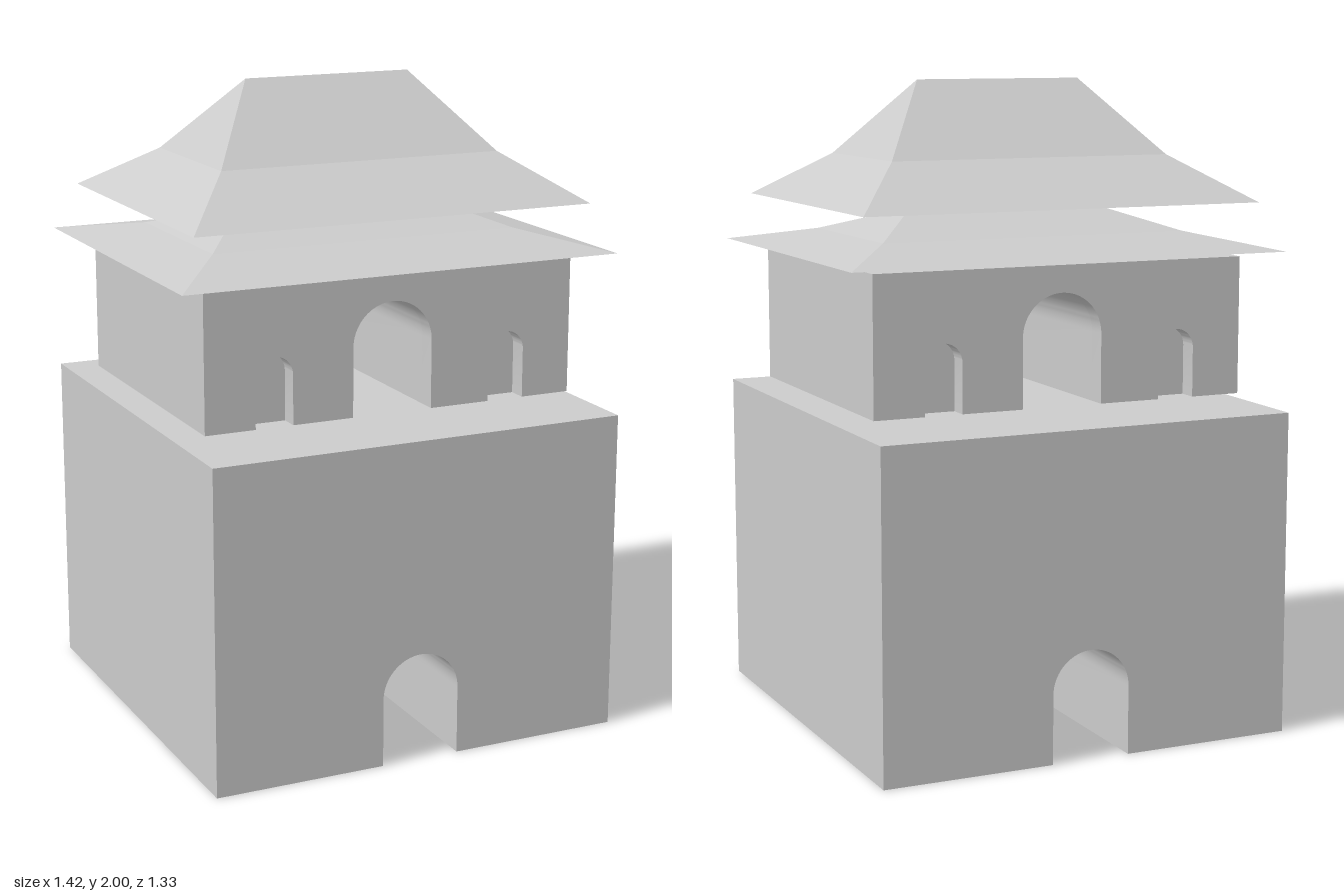
import * as THREE from 'three';
import { toCreasedNormals } from 'three/addons/utils/BufferGeometryUtils.js';

const stone = new THREE.MeshStandardMaterial({ color: 0xcccccc });
const roofing = new THREE.MeshStandardMaterial({ color: 0xcccccc, flatShading: true, side: THREE.DoubleSide });

// Rectangular wall block, cut from below by round-topped openings, extruded from z0 to z1.
// Each opening: { x: centre, r: half width, spring: height where the arch begins }, left to right.
function archedBlock(name, halfWidth, bottom, top, z0, z1, openings) {
  const s = new THREE.Shape();
  s.moveTo(-halfWidth, bottom);
  for (const { x, r, spring } of openings) {
    s.lineTo(x - r, bottom);
    s.lineTo(x - r, spring);
    s.absarc(x, spring, r, Math.PI, 0, true);
    s.lineTo(x + r, bottom);
  }
  s.lineTo(halfWidth, bottom);
  s.lineTo(halfWidth, top);
  s.lineTo(-halfWidth, top);
  s.closePath();
  const geo = new THREE.ExtrudeGeometry(s, { depth: z1 - z0, bevelEnabled: false, curveSegments: 20 });
  geo.translate(0, 0, z0);
  const mesh = new THREE.Mesh(toCreasedNormals(geo, 0.5), stone);
  mesh.name = name;
  return mesh;
}

// Hollow hipped roof: rings of [half width, height, half depth], from the eaves up to the ridge.
function hippedRoof(name, rings) {
  const corners = [[1, 1], [1, -1], [-1, -1], [-1, 1]];
  const point = (ring, i) => {
    const [sx, sz] = corners[i % 4];
    return [sx * ring[0], ring[1], sz * ring[2]];
  };
  const pos = [];
  for (let k = 0; k < rings.length - 1; k++) {
    for (let i = 0; i < 4; i++) {
      const a = point(rings[k], i), b = point(rings[k], i + 1);
      const c = point(rings[k + 1], i + 1), d = point(rings[k + 1], i);
      pos.push(...a, ...b, ...c);
      // The hip ends narrow to a point at the ridge
      if (rings[k + 1][2] > 0 || i % 2 === 1) pos.push(...a, ...c, ...d);
    }
  }
  const geo = new THREE.BufferGeometry();
  geo.setAttribute('position', new THREE.Float32BufferAttribute(pos, 3));
  geo.computeVertexNormals();
  const mesh = new THREE.Mesh(geo, roofing);
  mesh.name = name;
  return mesh;
}

export function createModel() {
  const tower = new THREE.Group();
  tower.name = 'gateTower';

  // Massive base with a passage running through it
  tower.add(archedBlock('base', 0.665, 0, 1.003, -0.665, 0.665, [{ x: 0, r: 0.125, spring: 0.213 }]));

  // Upper hall: core with a passage, faced front and back by walls with niches
  const hall = new THREE.Group();
  hall.name = 'hall';
  const passage = { x: 0, r: 0.13, spring: 1.25 };
  const niche = (x) => ({ x, r: 0.06, spring: 1.19 });
  const facade = [niche(-0.385), passage, niche(0.385)];
  const depth = 0.46, inner = 0.4;
  hall.add(
    archedBlock('hallCore', 0.605, 1.037, 1.463, -inner, inner, [passage]),
    archedBlock('frontWall', 0.605, 1.037, 1.463, inner, depth, facade),
    archedBlock('backWall', 0.605, 1.037, 1.463, -depth, -inner, facade),
  );
  tower.add(hall);

  // Two tiers of flared roof
  tower.add(hippedRoof('lowerRoof', [[0.708, 1.482, 0.563], [0.5, 1.531, 0.28], [0.297, 1.61, 0]]));
  tower.add(hippedRoof('upperRoof', [[0.646, 1.63, 0.5], [0.458, 1.768, 0.25], [0.273, 2, 0]]));

  return tower;
}
